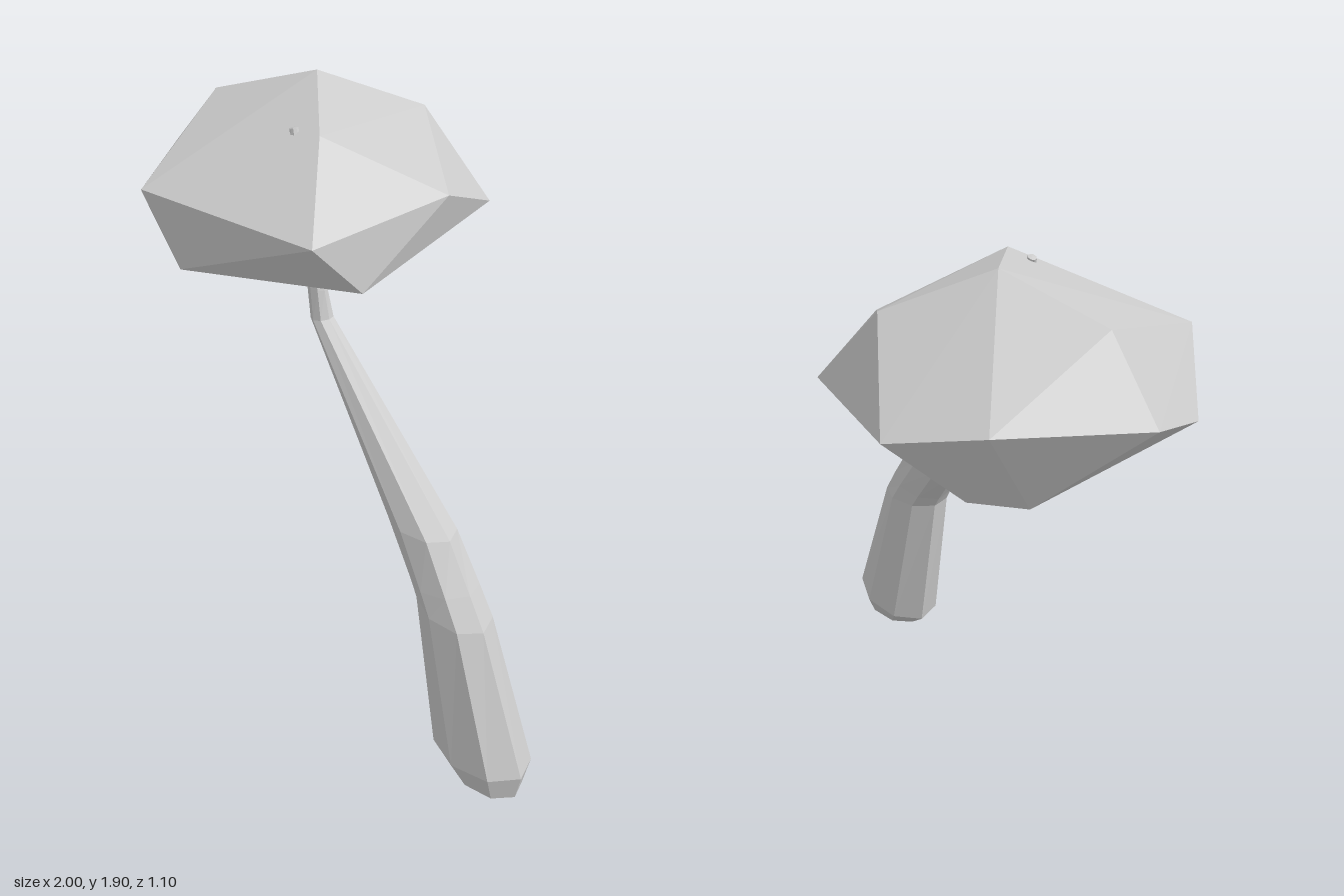
import * as THREE from 'three';
import { ConvexGeometry } from 'three/addons/geometries/ConvexGeometry.js';

const SIDES = 8;

// Skins a closed tube over rings given as [leftX, leftY, rightX, rightY, centreZ, halfDepth].
function loft(rings, startTip, endTip) {
  const pos = [], index = [];
  for (const [lx, ly, rx, ry, z, h] of rings) {
    for (let i = 0; i < SIDES; i++) {
      const a = (i / SIDES) * Math.PI * 2;
      const t = (1 + Math.cos(a)) / 2;
      pos.push(lx + (rx - lx) * t, ly + (ry - ly) * t, z + Math.sin(a) * h);
    }
  }
  const last = (rings.length - 1) * SIDES;
  const start = pos.length / 3, end = start + 1;
  pos.push(...startTip, ...endTip);
  for (let i = 0; i < SIDES; i++) {
    const j = (i + 1) % SIDES;
    for (let r = 0; r < last; r += SIDES) {
      index.push(r + i, r + SIDES + i, r + j, r + j, r + SIDES + i, r + SIDES + j);
    }
    index.push(start, i, j, end, last + j, last + i);
  }
  const geo = new THREE.BufferGeometry();
  geo.setAttribute('position', new THREE.Float32BufferAttribute(pos, 3));
  geo.setIndex(index);
  const flat = geo.toNonIndexed();
  flat.computeVertexNormals();
  return flat;
}

export function createModel() {
  const group = new THREE.Group();
  group.name = 'leaningTree';
  const material = new THREE.MeshStandardMaterial({ color: 0xcccccc, flatShading: true });

  // Bent trunk: rounded foot, thick lower part, long taper, thin tip through the crown
  const trunk = new THREE.Mesh(loft([
    [0.70, 0.03, 0.98, 0.04, 0.23, 0.09],
    [0.61, 0.09, 1.00, 0.13, 0.225, 0.125],
    [0.51, 0.61, 0.80, 0.59, 0.23, 0.10],
    [0.48, 0.65, 0.73, 0.69, 0.23, 0.095],
    [0.34, 0.81, 0.62, 0.83, 0.225, 0.085],
    [-0.14, 1.26, -0.06, 1.28, 0.19, 0.035],
    [-0.17, 1.36, -0.09, 1.37, 0.185, 0.027],
    [-0.33, 1.83, -0.30, 1.84, 0.135, 0.014],
  ], [0.84, 0, 0.23], [-0.315, 1.837, 0.135]), material);
  trunk.name = 'trunk';
  group.add(trunk);

  // Faceted crown
  const crownPoints = [
    [-0.51, 1.90, -0.09], [-0.81, 1.78, 0.11], [-0.21, 1.84, 0.11], [-0.33, 1.76, -0.39],
    [-0.57, 1.64, 0.55], [0.03, 1.61, 0.31], [0.01, 1.62, -0.23],
    [-0.67, 1.51, -0.55], [-0.09, 1.48, -0.48], [-0.90, 1.57, -0.33],
    [-1.00, 1.53, 0.16], [-0.86, 1.46, 0.39], [-0.46, 1.38, 0.49], [0.04, 1.40, 0.13],
    [-0.25, 1.22, -0.08], [-0.77, 1.25, -0.12], [-0.75, 1.31, -0.32],
  ].map((p) => new THREE.Vector3(...p));
  const crown = new THREE.Mesh(new ConvexGeometry(crownPoints), material);
  crown.name = 'crown';
  group.add(crown);

  return group;
}
